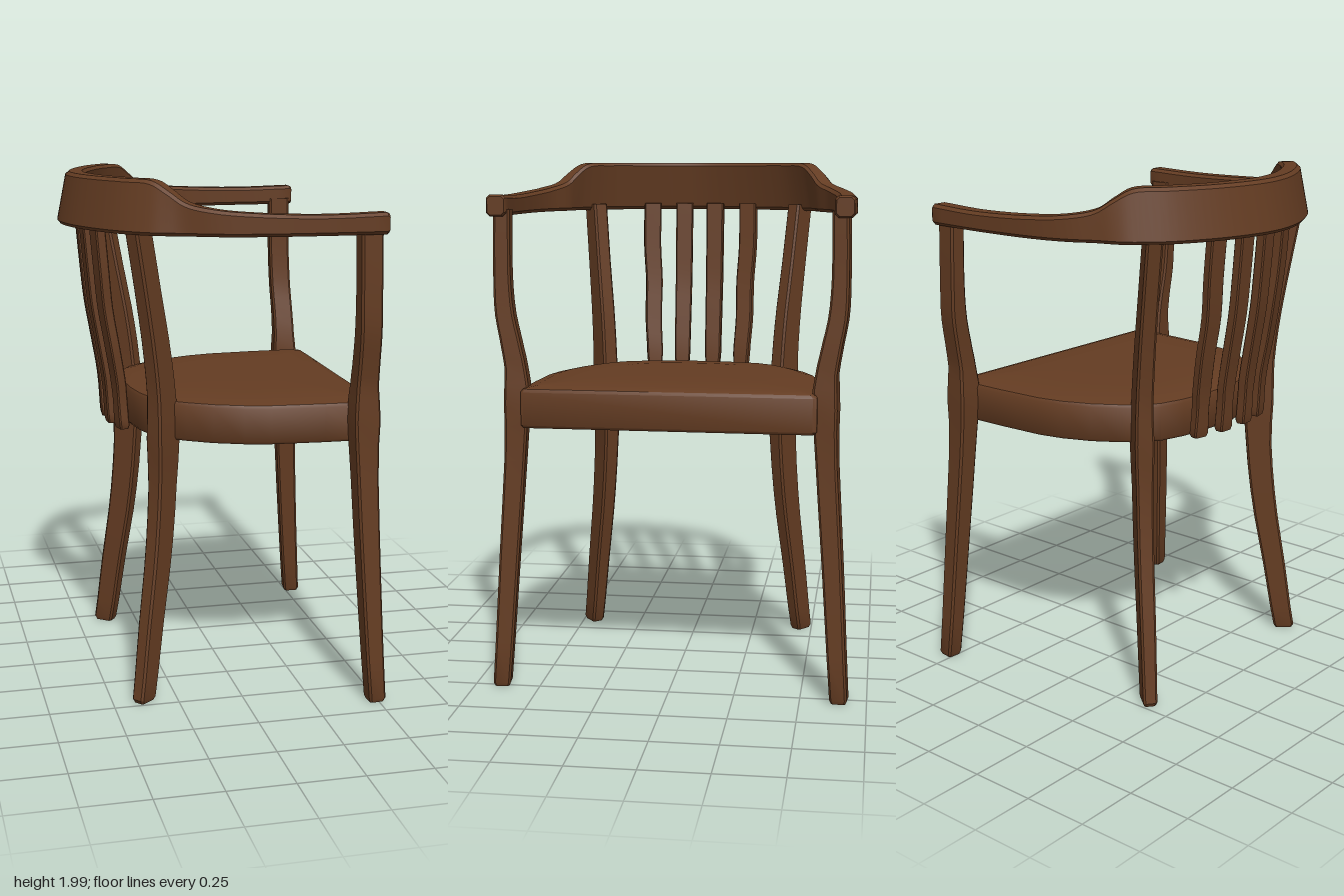
import * as THREE from 'three';
import { toCreasedNormals } from 'three/addons/utils/BufferGeometryUtils.js';

const V = (x, y, z) => new THREE.Vector3(x, y, z);

// Closed solid through a list of equal-length rings, capped at both ends
function loft(rings, crease = 0.6) {
  const n = rings[0].length, m = rings.length;
  const pts = rings.flat(), idx = [];
  for (let i = 0; i < m - 1; i++) {
    for (let j = 0; j < n; j++) {
      const a = i * n + j, b = i * n + (j + 1) % n;
      idx.push(a, b, b + n, a, b + n, a + n);
    }
  }
  const centre = (ring) => ring.reduce((s, p) => s.add(p), V(0, 0, 0)).divideScalar(n);
  pts.push(centre(rings[0]), centre(rings[m - 1]));
  for (let j = 0; j < n; j++) {
    const k = (j + 1) % n, e = (m - 1) * n;
    idx.push(m * n, k, j, m * n + 1, e + j, e + k);
  }
  // Turn the faces outward if the rings wind the other way
  let volume = 0;
  for (let i = 0; i < idx.length; i += 3) {
    volume += pts[idx[i]].dot(pts[idx[i + 1]].clone().cross(pts[idx[i + 2]]));
  }
  if (volume < 0) idx.reverse();
  const g = new THREE.BufferGeometry().setFromPoints(pts);
  g.setIndex(idx);
  return toCreasedNormals(g, crease);
}

// Rectangle with small chamfered corners, as [u, v] pairs
function section(w, d, c) {
  const a = w / 2, b = d / 2;
  return [[a, -b + c], [a, b - c], [a - c, b], [-a + c, b],
    [-a, b - c], [-a, -b + c], [-a + c, -b], [a - c, -b]];
}

// Upright bar: stations are [y, x, z, width, depth], turned by angle about y
function bar(stations, angle, chamfer) {
  const path = new THREE.CatmullRomCurve3(stations.map((s) => V(s[1], s[0], s[2])));
  const size = new THREE.CatmullRomCurve3(stations.map((s) => V(s[3], s[4], 0)));
  const steps = 20, c = Math.cos(angle), s = Math.sin(angle);
  const ring = (t, k, dy) => {
    const p = path.getPoint(t), q = size.getPoint(t);
    return section(q.x * k, q.y * k, chamfer * k).map(([u, v]) =>
      V(p.x + u * c - v * s, p.y + dy, p.z + u * s + v * c));
  };
  const rings = [ring(0, 0.82, 0), ring(0, 1, 0.015)];
  for (let i = 1; i <= steps; i++) rings.push(ring(i / steps, 1, 0));
  return loft(rings);
}

export function createModel() {
  const chair = new THREE.Group();
  chair.name = 'armchair';
  const wood = new THREE.MeshStandardMaterial({ color: 0x643c22 });
  wood.name = 'brown wood';
  const add = (name, geometry) => {
    const mesh = new THREE.Mesh(geometry, wood);
    mesh.name = name;
    chair.add(mesh);
  };

  // Seat: rounded back, straight front, gently domed top
  const side = [[0.46, 0.557], [0.3, 0.553], [0.1, 0.54], [0, 0.517], [-0.11, 0.472],
    [-0.2, 0.415], [-0.265, 0.365], [-0.312, 0.3], [-0.342, 0.2], [-0.357, 0.1]];
  const outline = [[0.505, 0.555], ...side, [-0.362, 0],
    ...side.map(([x, z]) => [x, -z]).reverse(), [0.52, -0.55], [0.53, -0.535], [0.512, 0.545]];
  const seatRing = (k, y) => outline.map(([x, z]) => V(0.1 + (x - 0.1) * k, y, z * k));
  add('seat', loft([[0.985, 1.02], [1, 1.03], [1, 1.155], [0.985, 1.167],
    [0.9, 1.177], [0.6, 1.186], [0.25, 1.188]].map(([k, y]) => seatRing(k, y)), 0.7));

  // Legs, continuing upward to carry the arms and back
  for (const s of [1, -1]) {
    const label = s > 0 ? 'Left' : 'Right';
    const dx = s > 0 ? 0 : 1;
    add('frontLeg' + label, bar([
      [0.01, 0.49 + 0.036 * dx, s * 0.647, 0.068, 0.066],
      [0.5, 0.463 + 0.03 * dx, s * 0.617, 0.078, 0.074],
      [1.0, 0.443 + 0.022 * dx, s * 0.585, 0.088, 0.08],
      [1.22, 0.44 + 0.02 * dx, s * 0.582, 0.088, 0.08],
      [1.33, 0.44 + 0.018 * dx, s * 0.6, 0.085, 0.075],
      [1.45, 0.438 + 0.015 * dx, s * 0.623, 0.085, 0.07],
      [1.6, 0.435 + 0.012 * dx, s * 0.63, 0.085, 0.063],
      [1.83, 0.432 + 0.01 * dx, s * 0.627, 0.085, 0.062],
    ], -s * 0.1, 0.008));
    add('backLeg' + label, bar([
      [0.01, -0.378, s * 0.455, 0.085, 0.055],
      [0.3, -0.343, s * 0.425, 0.092, 0.06],
      [0.6, -0.303, s * 0.392, 0.1, 0.063],
      [0.9, -0.282, s * 0.374, 0.105, 0.066],
      [1.15, -0.284, s * 0.378, 0.105, 0.066],
      [1.35, -0.303, s * 0.388, 0.1, 0.064],
      [1.6, -0.342, s * 0.41, 0.092, 0.062],
      [1.83, -0.38, s * 0.43, 0.09, 0.062],
    ], -s * 0.67, 0.008));
  }

  // Four curved back slats
  [0.205, 0.07, -0.062, -0.205].forEach((z, i) => {
    const outer = Math.abs(z) > 0.1;
    const dx = outer ? 0.008 : -0.014, end = outer ? 0.91 : 1;
    add('backSlat' + (i + 1), bar([
      [1.03, -0.412 + dx, z * end, 0.04, 0.066],
      [1.2, -0.423 + dx, z * end, 0.04, 0.066],
      [1.35, -0.447 + dx, z * (end + 1) / 2, 0.04, 0.068],
      [1.5, -0.472 + dx, z * (end + 1) / 2, 0.04, 0.07],
      [1.65, -0.487 + dx, z, 0.04, 0.071],
      [1.83, -0.502 + dx, z, 0.04, 0.072],
    ], -z * 1.1, 0.005));
  });

  // Horseshoe rail: control points are x, top height, z
  const half = [[0.492, 1.884, 0.64], [0.25, 1.879, 0.643], [0, 1.888, 0.624],
    [-0.13, 1.9, 0.59], [-0.22, 1.922, 0.54], [-0.27, 1.96, 0.507], [-0.32, 1.995, 0.465],
    [-0.4, 2, 0.385], [-0.475, 2, 0.255], [-0.522, 2, 0.125]];
  const mirrored = half.map(([x, y, z]) => [x + 0.006, y, -z]).reverse();
  const railCurve = new THREE.CatmullRomCurve3(
    [...half, [-0.537, 2, 0], ...mirrored].map((p) => V(...p)));
  const railRing = (t, k) => {
    const p = railCurve.getPoint(t), d = railCurve.getTangent(t);
    const out = V(d.z, 0, -d.x).normalize();
    const height = p.y - 1.805;
    return section(0.074 * k, height * k, 0.012 * k).map(([u, v]) => {
      const lean = (v - height / 2) * 0.2 * THREE.MathUtils.smoothstep(height, 0.08, 0.19);
      // Outward is away from the middle of the horseshoe
      return p.clone().addScaledVector(out, u - lean).setY(1.805 + height / 2 + v);
    });
  };
  const railRings = [railRing(0, 0.85)];
  const steps = 100;
  for (let i = 0; i <= steps; i++) {
    railRings.push(railRing(THREE.MathUtils.lerp(0.002, 0.998, i / steps), 1));
  }
  railRings.push(railRing(1, 0.85));
  add('armAndBackRail', loft(railRings));

  return chair;
}
